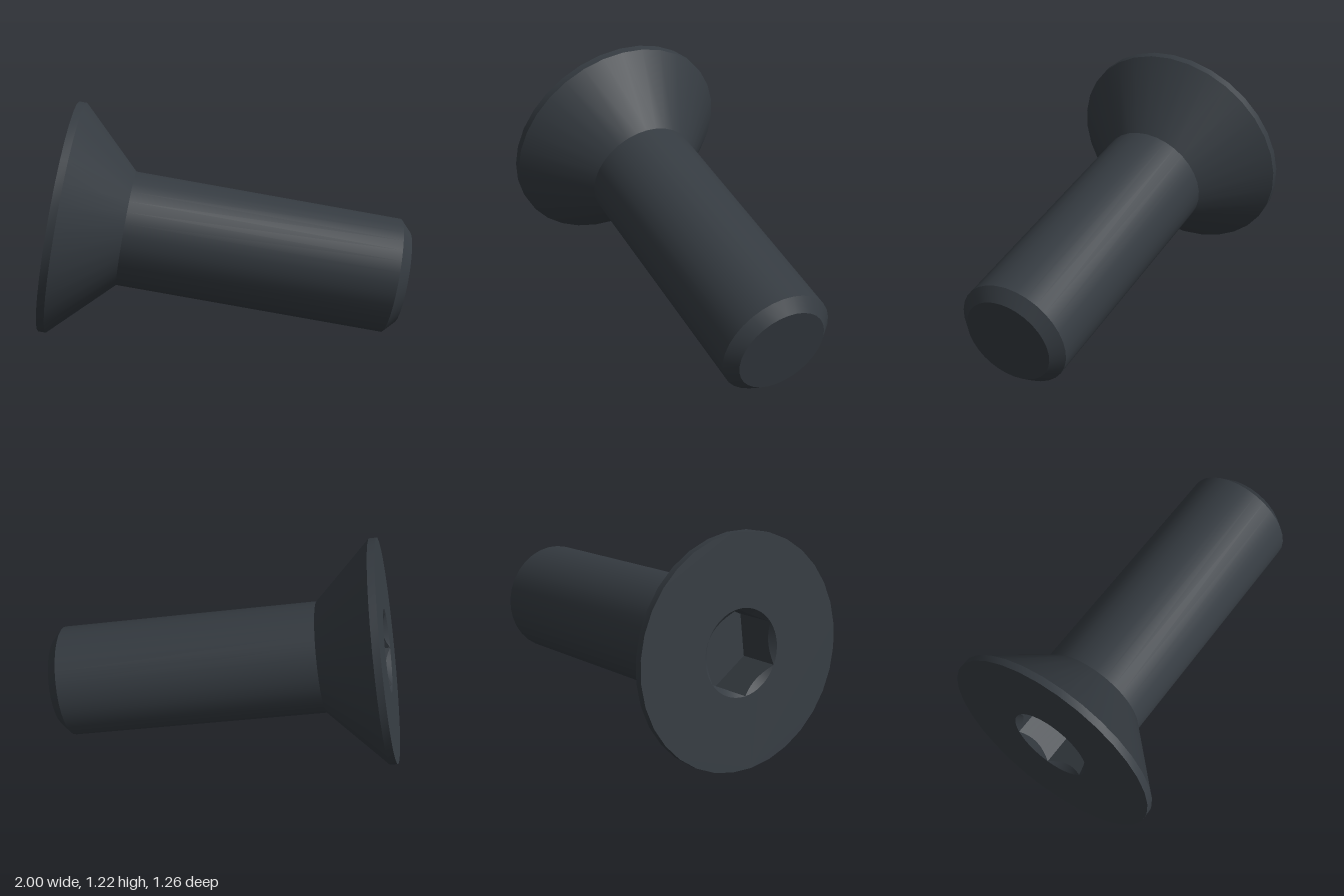
import * as THREE from 'three';
import { toCreasedNormals } from 'three/addons/utils/BufferGeometryUtils.js';

const HEAD_R = 0.615, SHANK_R = 0.305, SOCKET_R = 0.228, SOCKET_DEPTH = 0.24;
const SIDES = 32, SOCKET_STEPS = 48, CREASE = 0.4;

// Surface of revolution around the screw axis (local y, running from head to tip)
function turned(profile) {
  const points = profile.map(([r, y]) => new THREE.Vector2(r, y));
  return toCreasedNormals(new THREE.LatheGeometry(points, SIDES), CREASE);
}

function ringPoints(radius, count) {
  return Array.from({ length: count }, (_, i) => {
    const a = (i / count) * Math.PI * 2;
    return new THREE.Vector2(radius * Math.sin(a), radius * Math.cos(a));
  });
}

// Flat head face with a round opening
function headFaceGeometry() {
  const shape = new THREE.Shape(ringPoints(HEAD_R, SIDES));
  shape.holes.push(new THREE.Path(ringPoints(SOCKET_R, SOCKET_STEPS)));
  return new THREE.ShapeGeometry(shape).rotateX(Math.PI / 2);
}

// Hexagonal recess: round chamfer, six flat walls and a floor
function socketGeometry() {
  const apothem = SOCKET_R * Math.cos(Math.PI / 6);
  const section = (i) => {
    const a = (i / SOCKET_STEPS) * Math.PI * 2;
    const h = apothem / Math.cos((a % (Math.PI / 3)) - Math.PI / 6);
    const at = (r, y) => [r * Math.sin(a), y, r * Math.cos(a)];
    return [at(SOCKET_R, 0), at(h, SOCKET_R - h), at(h, SOCKET_DEPTH), at(0, SOCKET_DEPTH)];
  };
  const positions = [];
  for (let i = 0; i < SOCKET_STEPS; i++) {
    const p = section(i), q = section((i + 1) % SOCKET_STEPS);
    for (let k = 0; k < 3; k++) {
      positions.push(...p[k], ...p[k + 1], ...q[k]);
      if (k < 2) positions.push(...q[k], ...p[k + 1], ...q[k + 1]);
    }
  }
  const geometry = new THREE.BufferGeometry();
  geometry.setAttribute('position', new THREE.Float32BufferAttribute(positions, 3));
  return toCreasedNormals(geometry, CREASE);
}

export function createModel() {
  const steel = new THREE.MeshStandardMaterial({ color: 0x353b41 });
  steel.name = 'darkSteel';

  const screw = new THREE.Group();
  screw.name = 'countersunkScrew';
  const add = (name, geometry) => {
    const mesh = new THREE.Mesh(geometry, steel);
    mesh.name = name;
    screw.add(mesh);
  };

  add('headFace', headFaceGeometry());
  add('hexSocket', socketGeometry());
  // Thin rim and countersunk cone
  add('head', turned([[HEAD_R, 0], [HEAD_R, 0.04], [SHANK_R, 0.357]]));
  // Plain shank with chamfered tip
  add('shank', turned([[SHANK_R, 0.357], [SHANK_R, 1.78], [0.244, 1.838], [0, 1.838]]));

  // Tilt the axis and place the head
  const axis = new THREE.Vector3(0.9636, -0.1744, 0.2024).normalize();
  const up = new THREE.Vector3(0, 1, 0).addScaledVector(axis, -axis.y).normalize();
  const side = new THREE.Vector3().crossVectors(axis, up);
  screw.quaternion.setFromRotationMatrix(new THREE.Matrix4().makeBasis(side, axis, up));
  screw.position.set(-0.837, 0.612, -0.028);

  const model = new THREE.Group();
  model.name = 'model';
  model.add(screw);
  return model;
}
